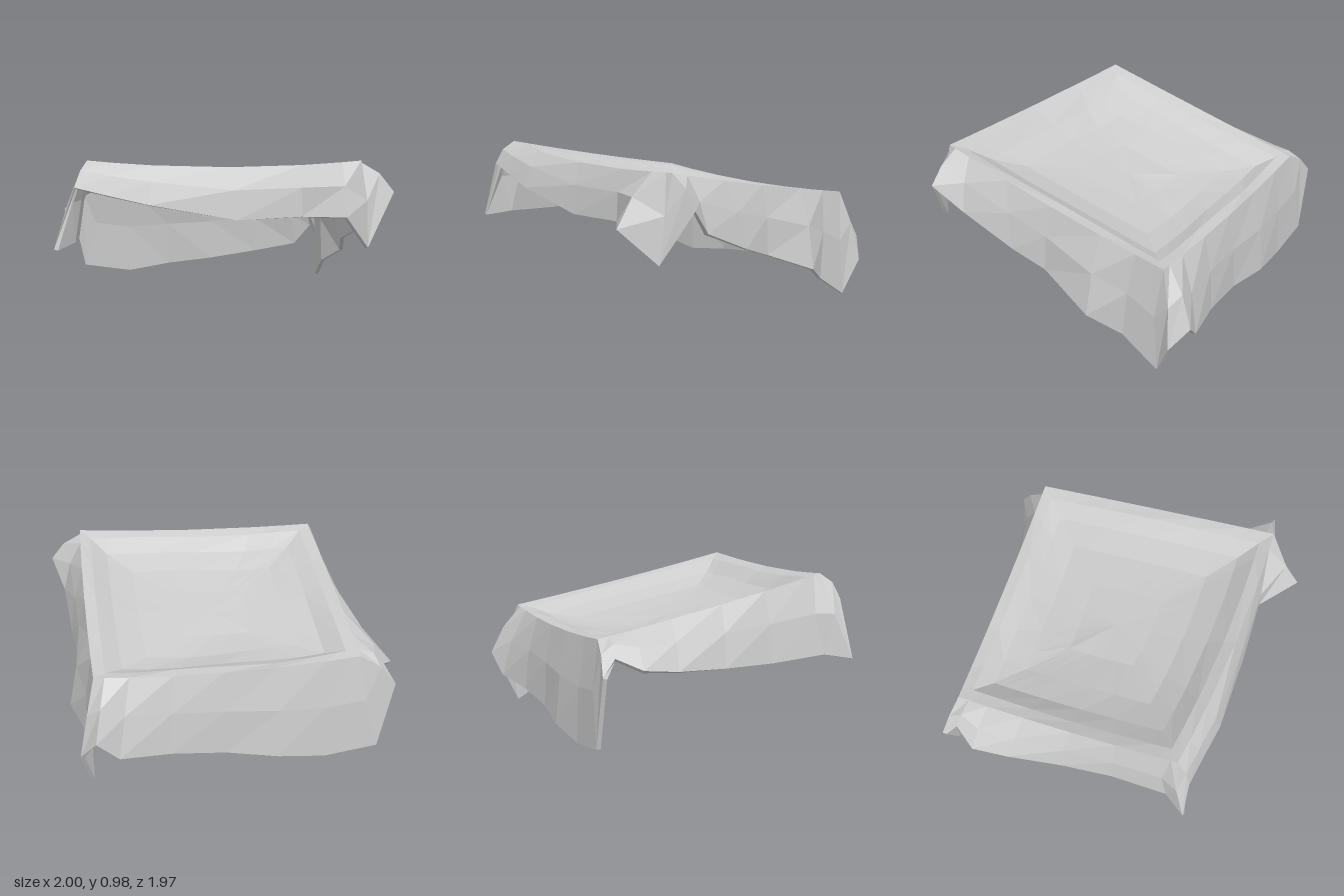
import * as THREE from 'three';

// Corners of the top panel, counter-clockwise from above
const corners = [[-0.77, 0.975, 0.62], [0.8, 0.975, 0.74], [0.8, 0.67, -0.8], [-0.75, 0.675, -0.79]]
  .map((p) => new THREE.Vector3(...p));

// Each side: dip and outward bow of its crest, then columns [fraction along crest, hem x, y, z]
const sides = [
  { dip: 0.035, bow: 0.04, hem: [ // front
    [0, -0.84, 0.83, 0.72], [0.1, -0.65, 0.785, 0.75], [0.24, -0.42, 0.735, 0.79],
    [0.52, 0.08, 0.645, 0.8], [0.78, 0.45, 0.66, 0.79], [0.93, 0.67, 0.68, 0.98]] },
  { dip: 0.012, bow: 0.01, hem: [ // left
    [0, 0.83, 0.48, 0.82], [0.03, 1.0, 0.79, 0.72], [0.1, 0.93, 0.63, 0.55], [0.29, 0.9, 0.48, 0.2],
    [0.5, 0.87, 0.4, -0.02], [0.73, 0.94, 0.26, -0.37], [0.88, 0.85, 0.15, -0.56], [0.96, 0.85, 0, -0.8]] },
  { dip: 0.035, bow: 0, hem: [ // back
    [0, 0.9, 0.22, -0.9], [0.04, 0.81, 0.35, -0.99], [0.13, 0.68, 0.215, -0.95], [0.29, 0.38, 0.175, -0.88],
    [0.48, 0.05, 0.13, -0.85], [0.69, -0.26, 0.09, -0.88], [0.87, -0.55, 0.045, -0.85], [0.97, -0.87, 0.09, -0.85]] },
  { dip: 0.01, bow: 0.01, hem: [ // right
    [0, -0.96, 0.5, -0.84], [0.05, -0.91, 0.59, -0.75], [0.14, -1.0, 0.53, -0.62], [0.31, -0.97, 0.5, -0.4],
    [0.53, -0.91, 0.48, -0.08], [0.73, -0.87, 0.475, 0.25], [0.92, -0.87, 0.5, 0.6], [0.97, -0.96, 0.48, 0.74]] },
];

// Sag of the panel: [fraction from crest to middle, drop]
const rings = [[0.09, 0.015], [0.22, 0.075], [0.42, 0.12], [0.7, 0.14]];
const middle = new THREE.Vector3(0.02, 0.8, -0.03);
const thickness = 0.025;

function clothRows() {
  const rows = Array.from({ length: 3 + rings.length }, () => []);
  sides.forEach(({ dip, bow, hem }, s) => {
    const a = corners[s], b = corners[(s + 1) % 4];
    const out = new THREE.Vector3(a.z - b.z, 0, b.x - a.x).normalize();
    out.set(-(b.z - a.z), 0, b.x - a.x).normalize();
    hem.forEach(([u, x, y, z]) => {
      const arch = 4 * u * (1 - u);
      const rim = a.clone().lerp(b, u).addScaledVector(out, bow * arch);
      rim.y -= dip * arch;
      const low = new THREE.Vector3(x, y, z);
      // the skirt bulges a little between crest and hem
      const mid = rim.clone().lerp(low, 0.5).addScaledVector(out, 0.015);
      mid.y += 0.02;
      rows[0].push(low);
      rows[1].push(mid);
      rows[2].push(rim);
      rings.forEach(([t, drop], k) => {
        const p = rim.clone().lerp(middle, t);
        p.y -= drop + 0.008 * Math.sin(7 * p.x + 4 * p.z + k);
        rows[3 + k].push(p);
      });
    });
  });
  return rows;
}

function clothGeometry() {
  const rows = clothRows();
  const n = rows[0].length;
  const points = rows.flat();
  points.push(middle.clone().setY(middle.y - 0.14));
  const faces = [];
  for (let r = 0; r < rows.length; r++) {
    for (let i = 0; i < n; i++) {
      const j = (i + 1) % n, a = r * n + i, b = r * n + j;
      if (r === rows.length - 1) faces.push(a, b, points.length - 1);
      else faces.push(a, b, b + n, a, b + n, a + n);
    }
  }
  const outer = new THREE.BufferGeometry().setFromPoints(points);
  outer.setIndex(faces);
  outer.computeVertexNormals();

  // Inner face, offset along the normals, and the strip closing the hem
  const normals = outer.attributes.normal;
  const normal = new THREE.Vector3();
  const inner = points.map((p, i) =>
    p.clone().addScaledVector(normal.fromBufferAttribute(normals, i), -thickness));
  const m = points.length;
  const all = [...faces];
  for (let f = 0; f < faces.length; f += 3) all.push(faces[f] + m, faces[f + 2] + m, faces[f + 1] + m);
  for (let i = 0; i < n; i++) {
    const j = (i + 1) % n;
    all.push(i, i + m, j + m, i, j + m, j);
  }
  const geometry = new THREE.BufferGeometry().setFromPoints([...points, ...inner]);
  geometry.setIndex(all);
  geometry.computeVertexNormals();
  geometry.computeBoundingBox();
  geometry.translate(0, -geometry.boundingBox.min.y, 0);
  return geometry;
}

export function createModel() {
  const group = new THREE.Group();
  group.name = 'drapedCloth';
  const cloth = new THREE.Mesh(
    clothGeometry(),
    new THREE.MeshStandardMaterial({ color: 0xcccccc, flatShading: true, side: THREE.DoubleSide }),
  );
  cloth.name = 'cloth';
  group.add(cloth);
  return group;
}
